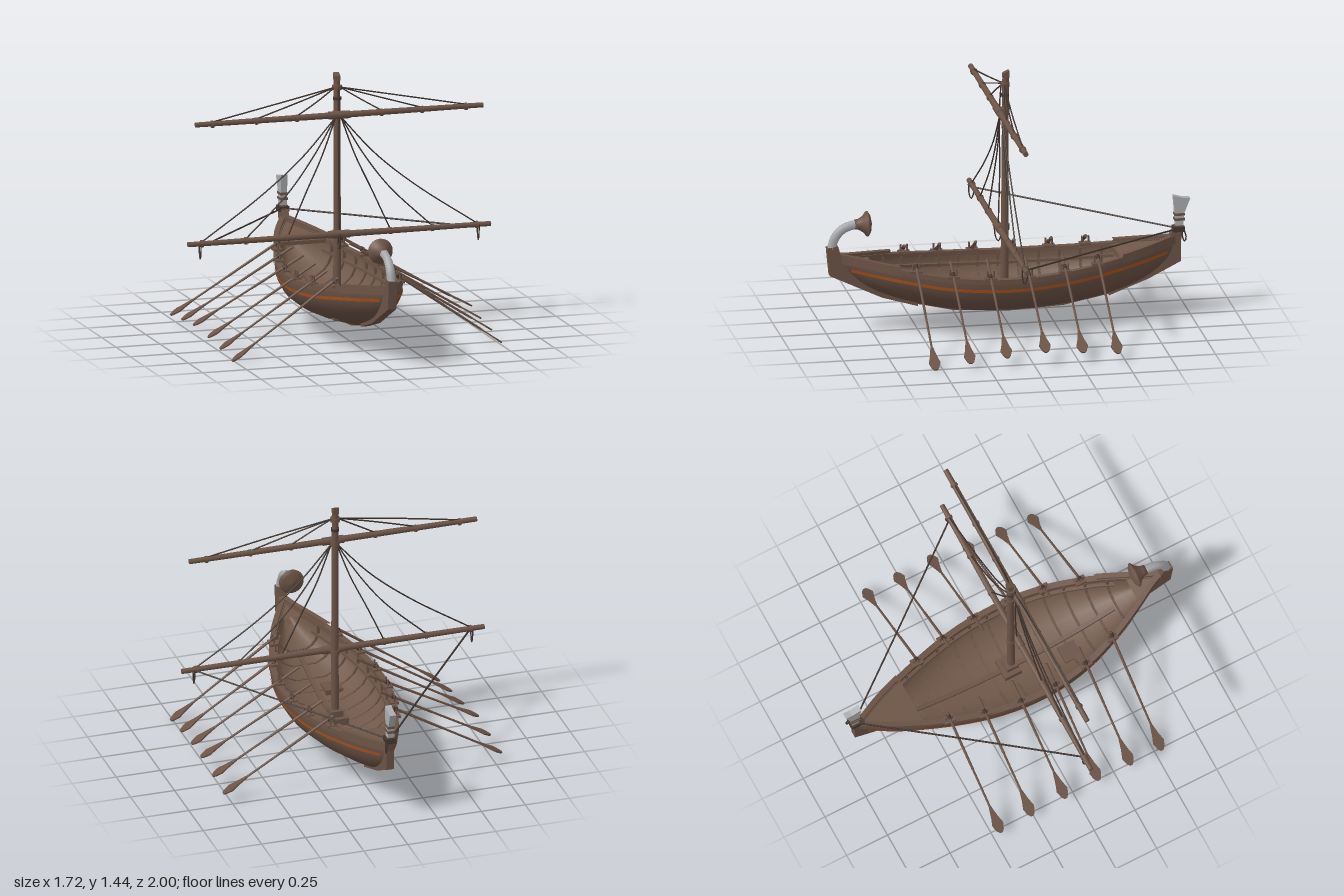
import * as THREE from 'three';

const V = (x, y, z) => new THREE.Vector3(x, y, z);
const mat = (name, color, side = THREE.FrontSide) => {
  const m = new THREE.MeshStandardMaterial({ color, side });
  m.name = name;
  return m;
};

// Hull stations: z, half width, sheer height, keel height
const stations = [
  [-0.92, 0.012, 0.437, 0.36], [-0.86, 0.04, 0.428, 0.295], [-0.75, 0.095, 0.41, 0.22], [-0.6, 0.155, 0.388, 0.16],
  [-0.4, 0.22, 0.362, 0.115], [-0.2, 0.268, 0.347, 0.092], [0, 0.29, 0.34, 0.085], [0.2, 0.285, 0.345, 0.093],
  [0.4, 0.247, 0.36, 0.123], [0.6, 0.175, 0.386, 0.177], [0.75, 0.102, 0.406, 0.235], [0.86, 0.042, 0.422, 0.31], [0.93, 0.012, 0.432, 0.37],
];
const topLine = new THREE.CatmullRomCurve3(stations.map(([z, w, s]) => V(w, s, z)), false, 'catmullrom');
const keelLine = new THREE.CatmullRomCurve3(stations.map(([z, , , k]) => V(0, k, z)), false, 'catmullrom');

function station(z) {
  let lo = 0, hi = 1;
  for (let i = 0; i < 30; i++) {
    const mid = (lo + hi) / 2;
    if (keelLine.getPoint(mid).z < z) lo = mid; else hi = mid;
  }
  const p = topLine.getPoint(lo);
  return { w: p.x, sheer: p.y, keel: keelLine.getPoint(lo).y, z };
}

// Cross-section of one side: [share of half width, share of depth]
const profile = [[1, 0], [1.005, 0.17], [0.98, 0.35], [0.88, 0.54], [0.69, 0.71], [0.4, 0.86], [0, 1]];
function widthAt(f) {
  for (let i = 1; i < profile.length; i++) {
    const [x0, f0] = profile[i - 1], [x1, f1] = profile[i];
    if (f <= f1) return x0 + (x1 - x0) * (f - f0) / (f1 - f0);
  }
  return 0;
}

// Half section of the planking, moved inwards by inset, with an optional flat floor
function halfSection(z, inset = 0, floor = 0) {
  const s = station(z), w = Math.max(s.w - inset, 0.003), k = s.keel + inset;
  return profile.map(([x, f]) => V(x * w, Math.max(s.sheer - f * (s.sheer - k), Math.min(k + floor, s.sheer - 0.01)), z));
}
const fullSection = (half) => [...half, ...half.slice(0, -1).reverse().map((p) => V(-p.x, p.y, p.z))];

// Skin a surface through sections taken from z0 to z1
function loft(section, z0, z1, n, flat = false) {
  const rows = [];
  for (let i = 0; i <= n; i++) rows.push(section(z0 + (z1 - z0) * i / n));
  const m = rows[0].length, index = [];
  for (let i = 0; i < n; i++) for (let j = 0; j < m - 1; j++) {
    const a = i * m + j, b = a + m;
    index.push(a, b, a + 1, b, b + 1, a + 1);
  }
  let g = new THREE.BufferGeometry().setFromPoints(rows.flat());
  g.setIndex(index);
  if (flat) g = g.toNonIndexed();
  g.computeVertexNormals();
  return g;
}

export function createModel() {
  const model = new THREE.Group();
  model.name = 'rowingShip';
  const hullWood = mat('hullWood', 0x664e41), wood = mat('wood', 0x6b5346), deckWood = mat('deckWood', 0x705849);
  const rope = mat('rope', 0x40342e), orange = mat('orangePaint', 0xa0501f, THREE.DoubleSide), grey = mat('greyMetal', 0xa9abad);

  const add = (parent, name, geo, material, x = 0, y = 0, z = 0) => {
    const mesh = new THREE.Mesh(geo, material);
    mesh.name = name;
    mesh.position.set(x, y, z);
    parent.add(mesh);
    return mesh;
  };
  const box = (parent, name, w, h, d, m, x, y, z) => add(parent, name, new THREE.BoxGeometry(w, h, d), m, x, y, z);
  const rod = (parent, name, a, b, r0, r1, m, sides = 10) => {
    const d = b.clone().sub(a), c = a.clone().add(b).multiplyScalar(0.5);
    const mesh = add(parent, name, new THREE.CylinderGeometry(r1, r0, d.length(), sides), m, c.x, c.y, c.z);
    mesh.quaternion.setFromUnitVectors(V(0, 1, 0), d.normalize());
    return mesh;
  };
  const line = (parent, name, pts, r = 0.004, m = rope) =>
    add(parent, name, new THREE.TubeGeometry(new THREE.CatmullRomCurve3(pts), 16, r, 6), m);
  // Plate drawn in the z-y plane and centred on x = 0
  const plate = (name, pts, thick, m) => {
    const g = new THREE.ExtrudeGeometry(new THREE.Shape(pts.map(([z, y]) => new THREE.Vector2(z, y))), { depth: thick, bevelEnabled: false });
    return add(model, name, g.translate(0, 0, -thick / 2).rotateY(-Math.PI / 2), m);
  };

  // Planking, inner lining with flat floor
  add(model, 'hull', loft((z) => fullSection(halfSection(z)), -0.92, 0.93, 48), hullWood);
  add(model, 'hullLining', loft((z) => fullSection(halfSection(z, 0.02, 0.03)).reverse(), -0.9, 0.91, 48), deckWood);

  // Gunwales, raised end rails, painted stripes and inner stringers
  const rail = (name, side, z0, z1, out, inn, up, down, m) => add(model, name, loft((z) => {
    const s = station(z), o = s.w + out, i = Math.max(s.w - inn, 0);
    const p = [V(o, s.sheer + up, z), V(o, s.sheer - down, z), V(i, s.sheer - down, z), V(i, s.sheer + up, z), V(o, s.sheer + up, z)];
    return side > 0 ? p : p.map((q) => V(-q.x, q.y, q.z)).reverse();
  }, z0, z1, 32, true), m);
  for (const side of [1, -1]) {
    rail('gunwale', side, -0.92, 0.93, 0.004, 0.03, 0.004, 0.022, wood);
    rail('bowRail', side, 0.62, 0.93, 0.007, 0.024, 0.02, 0.03, wood);
    rail('sternRail', side, -0.92, -0.6, 0.007, 0.024, 0.02, 0.03, wood);
    rail('stringer', side, -0.6, 0.7, -0.02, 0.042, -0.06, 0.075, wood);
    add(model, 'sideStripe', loft((z) => [0.052, 0.07].map((drop) => {
      const s = station(z);
      return V(side * (widthAt(drop / (s.sheer - s.keel)) * s.w + 0.004), s.sheer - drop, z);
    }), -0.87, 0.87, 48), orange);
  }

  // Ribs following the lining
  for (let i = 0; i < 12; i++) {
    const z = -0.54 + i * 0.11;
    const outer = fullSection(halfSection(z, 0.018)), inner = fullSection(halfSection(z, 0.034, 0.03)).reverse();
    const shape = new THREE.Shape([...outer, ...inner].map((p) => new THREE.Vector2(p.x, p.y - 0.012)));
    add(model, 'rib', new THREE.ExtrudeGeometry(shape, { depth: 0.014, bevelEnabled: false }), wood, 0, 0, z - 0.007);
  }

  // Centre plank, aft and fore decks, mast step, hatch
  add(model, 'centrePlank', loft((z) => {
    const y = station(z).keel + 0.065;
    return [V(0.012, y, z), V(0.012, y - 0.02, z), V(-0.012, y - 0.02, z), V(-0.012, y, z), V(0.012, y, z)];
  }, -0.58, 0.65, 24, true), wood);
  const deck = (z) => {
    const s = station(z), w = Math.max(s.w - 0.01, 0.004), y = s.sheer - 0.004;
    return [V(w, y, z), V(w, y - 0.015, z), V(-w, y - 0.015, z), V(-w, y, z), V(w, y, z)];
  };
  add(model, 'aftDeck', loft(deck, -0.9, -0.6, 12, true), deckWood);
  add(model, 'foreDeck', loft(deck, 0.76, 0.91, 8, true), deckWood);
  box(model, 'aftDeckBeam', 0.27, 0.02, 0.015, wood, 0, 0.372, -0.595);
  box(model, 'mastStep', 0.12, 0.05, 0.1, wood, 0, 0.15, 0.005);
  box(model, 'mastStepBlock', 0.07, 0.05, 0.07, wood, 0, 0.185, 0.015);
  box(model, 'hatch', 0.1, 0.03, 0.1, wood, -0.085, 0.168, 0.335);

  // Stem and stern posts
  plate('stemPost', [[0.5, 0.138], [0.7, 0.198], [0.85, 0.27], [0.985, 0.335], [1, 0.49], [0.94, 0.5], [0.925, 0.45], [0.89, 0.43], [0.86, 0.36], [0.7, 0.24], [0.5, 0.16]], 0.048, wood);
  plate('sternPost', [[-0.55, 0.138], [-0.55, 0.16], [-0.75, 0.25], [-0.85, 0.36], [-0.88, 0.45], [-0.915, 0.51], [-0.962, 0.51], [-0.945, 0.42], [-0.945, 0.31], [-0.77, 0.222]], 0.042, wood);
  plate('keel', [[-0.77, 0.22], [-0.6, 0.153], [-0.3, 0.094], [0, 0.08], [0.3, 0.1], [0.6, 0.168], [0.6, 0.2], [0, 0.11], [-0.6, 0.19]], 0.016, hullWood);

  // Curved prow ornament with flared end
  line(model, 'prowHorn', [V(0, 0.485, 0.972), V(0, 0.54, 0.955), V(0, 0.587, 0.915), V(0, 0.608, 0.865), V(0, 0.613, 0.8)], 0.025, grey);
  const flare = [[0, -0.02], [0.027, -0.02], [0.03, 0], [0.045, 0.025], [0.07, 0.045], [0.069, 0.052], [0.05, 0.064], [0, 0.075]];
  const bell = add(model, 'prowBell', new THREE.LatheGeometry(flare.map(([r, y]) => new THREE.Vector2(r, y)), 20), wood, 0, 0.613, 0.825);
  bell.rotation.x = -Math.PI / 2;

  // Stern fan with bindings
  plate('sternFan', [[-0.92, 0.5], [-0.958, 0.5], [-0.965, 0.58], [-0.998, 0.662], [-0.96, 0.664], [-0.905, 0.68], [-0.912, 0.6]], 0.036, grey);
  for (const y of [0.545, 0.573]) box(model, 'sternBand', 0.042, 0.014, 0.056, wood, 0, y, -0.939);
  for (const y of [0.48, 0.49, 0.5]) box(model, 'sternLashing', 0.056, 0.008, 0.064, rope, 0, y, -0.935);
  line(model, 'sternLoop', [V(0.025, 0.49, -0.95), V(0.03, 0.44, -0.955), V(0.03, 0.425, -0.965), V(0.03, 0.45, -0.972), V(0.025, 0.49, -0.96)]);

  // Mast with slanted head, collars and yards
  rod(model, 'mast', V(0, 0.15, 0.022), V(0, 1.41, 0.015), 0.022, 0.018, wood, 14);
  plate('mastHead', [[-0.003, 1.4], [0.033, 1.4], [0.03, 1.425], [-0.003, 1.44]], 0.032, wood);
  for (const [y, h, r] of [[1.36, 0.025, 0.026], [1.3, 0.015, 0.023], [1.215, 0.03, 0.024], [0.555, 0.03, 0.025]])
    add(model, 'mastCollar', new THREE.CylinderGeometry(r, r, h, 14), y === 1.3 ? rope : wood, 0, y, 0.018);
  for (const [y, len] of [[1.215, 0.817], [0.555, 0.86]]) {
    rod(model, 'yardSleeve', V(-0.06, y, 0.055), V(0.06, y, 0.055), 0.022, 0.022, wood, 12);
    for (const s of [1, -1]) rod(model, 'yard', V(0, y, 0.055), V(s * len, y, 0.055), 0.018, 0.014, wood, 12);
  }
  line(model, 'halyard', [V(0, 1.36, 0.04), V(0, 1.2, 0.05), V(0, 0.9, 0.047), V(0, 0.58, 0.055)]);
  line(model, 'yardSling', [V(0, 0.56, 0.078), V(0, 0.5, 0.07), V(0, 0.475, 0.055), V(0, 0.5, 0.042), V(0, 0.56, 0.04)]);

  // Oar: handle end to tip, leaf-shaped blade lying along z
  const leaf = new THREE.Shape([[0, 0.007], [0.06, 0.019], [0.105, 0.032], [0.14, 0.02], [0.155, 0.008],
    [0.155, -0.008], [0.14, -0.02], [0.105, -0.032], [0.06, -0.019], [0, -0.007]].map(([x, y]) => new THREE.Vector2(x, y)));
  const bladeGeo = new THREE.ExtrudeGeometry(leaf, { depth: 0.008, bevelEnabled: false }).translate(0, 0, -0.004);
  // z, tip x, tip y
  const oars = [[0.54, 0.765, 0.006], [0.348, 0.772, 0.034], [0.148, 0.775, 0.056], [-0.062, 0.79, 0.08], [-0.267, 0.79, 0.066], [-0.457, 0.792, 0.052]];

  // Oars and rigging, mirrored to both sides
  for (const s of [1, -1]) {
    const half = new THREE.Group();
    half.name = s > 0 ? 'leftRigging' : 'rightRigging';
    half.scale.x = s;
    model.add(half);
    for (const [z, tx, ty] of oars) {
      const a = V(0.165, 0.425, z), tip = V(tx, ty, z), dir = tip.clone().sub(a).normalize();
      const neck = tip.clone().addScaledVector(dir, -0.155), mid = a.clone().lerp(neck, 0.6);
      rod(half, 'oarGrip', a, mid, 0.008, 0.007, wood, 8);
      rod(half, 'oarShaft', mid, neck.clone().addScaledVector(dir, 0.02), 0.006, 0.006, wood, 8);
      const blade = add(half, 'oarBlade', bladeGeo, wood, neck.x, neck.y, neck.z);
      const zAxis = V(0, 0, 1);
      blade.quaternion.setFromRotationMatrix(new THREE.Matrix4().makeBasis(dir, zAxis, dir.clone().cross(zAxis)));
      const st = station(z), x = st.w - 0.016;
      box(half, 'oarPad', 0.045, 0.014, 0.065, wood, x, st.sheer + 0.006, z);
      for (const d of [-0.018, 0.018]) rod(half, 'tholePin', V(x, st.sheer, z + d), V(x, st.sheer + 0.05, z + d), 0.006, 0.005, wood, 8);
      const onOar = a.clone().addScaledVector(dir, (x - a.x) / dir.x);
      rod(half, 'oarLashing', onOar.clone().addScaledVector(dir, -0.012), onOar.clone().addScaledVector(dir, 0.012), 0.011, 0.011, rope, 8);
    }
    const ring = (x, y) => rod(half, 'yardRing', V(x - 0.007, y, 0.055), V(x + 0.007, y, 0.055), 0.02, 0.02, wood, 10);
    // Lifts from the mast head to the upper yard
    for (const x of [0.24, 0.47, 0.72]) {
      line(half, 'lift', [V(0.015, 1.362, 0.025), V(x * 0.5, 1.296, 0.045), V(x, 1.225, 0.055)]);
      ring(x, 1.213);
    }
    // Sagging lines between the yards
    for (const [x1, x2, x3] of [[0.21, 0.44, 0.78], [0.145, 0.29, 0.53], [0.095, 0.185, 0.29]]) {
      line(half, 'sailLine', [V(0.015, 1.2, 0.04), V(x1, 0.985, 0.04), V(x2, 0.795, 0.045), V(x3, 0.565, 0.055)]);
      ring(x3, 0.555);
    }
    // Brace to the stern and hanging loop
    line(half, 'brace', [V(0.77, 0.543, 0.05), V(0.39, 0.517, -0.435), V(0.015, 0.49, -0.92)], 0.005);
    line(half, 'yardLoop', [V(0.79, 0.555, 0.072), V(0.79, 0.5, 0.068), V(0.79, 0.472, 0.057), V(0.79, 0.5, 0.044), V(0.79, 0.555, 0.04)]);
  }
  return model;
}
